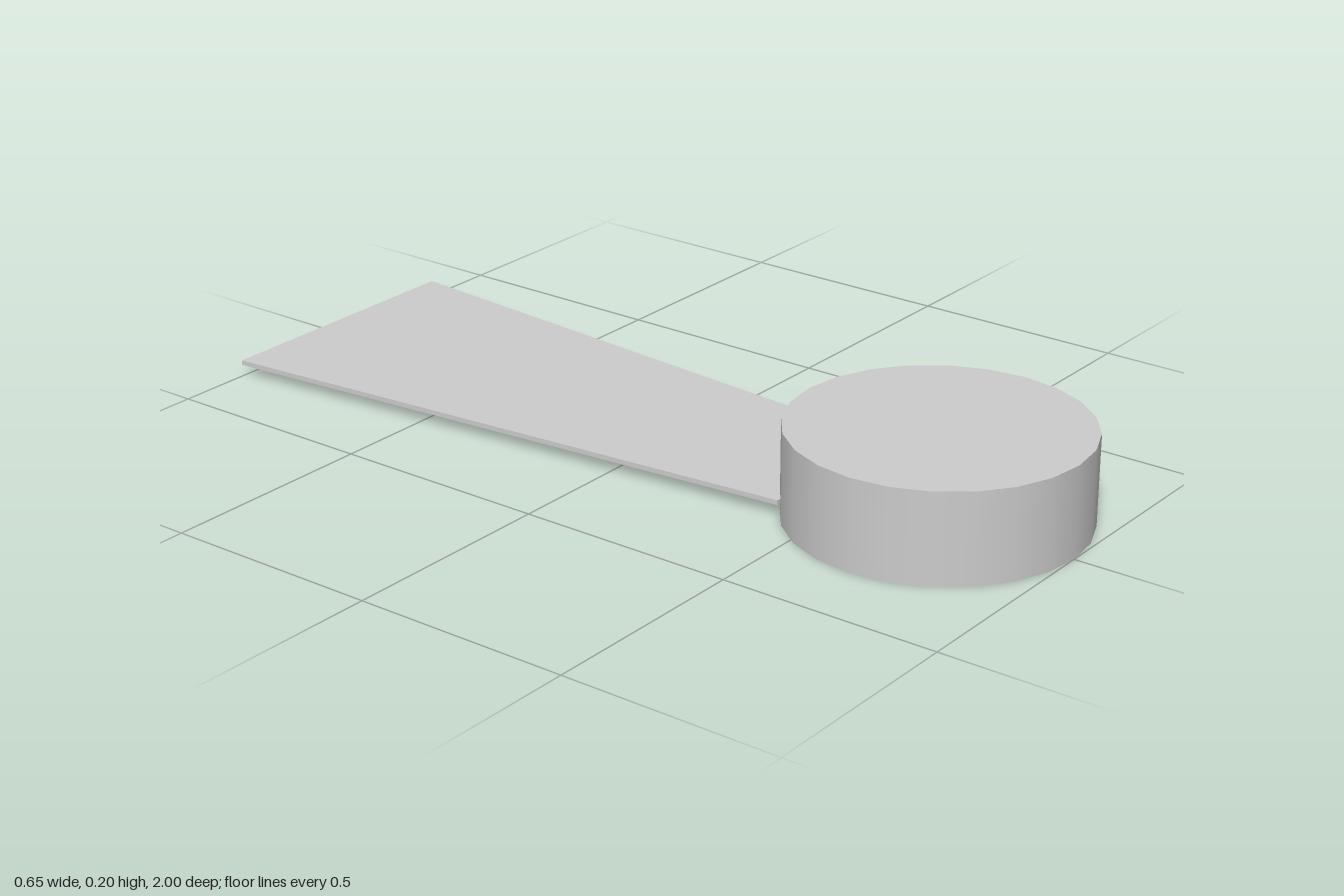
import * as THREE from 'three';

export function createModel() {
  const model = new THREE.Group();
  const material = new THREE.MeshStandardMaterial({ color: 0xcccccc });

  // Round hub: a short solid drum
  const hub = new THREE.Mesh(new THREE.CylinderGeometry(0.325, 0.325, 0.205, 24), material);
  hub.name = 'hub';
  hub.position.set(0.001, 0.1025, 0.675);
  model.add(hub);

  // Thin tapered blade, widening away from the hub (shape y becomes -z)
  const outline = new THREE.Shape([
    new THREE.Vector2(-0.2, -0.415),
    new THREE.Vector2(0.193, -0.415),
    new THREE.Vector2(0.321, 1),
    new THREE.Vector2(-0.328, 1),
  ]);
  const bladeGeometry = new THREE.ExtrudeGeometry(outline, { depth: 0.011, bevelEnabled: false });
  bladeGeometry.rotateX(-Math.PI / 2);
  const blade = new THREE.Mesh(bladeGeometry, material);
  blade.name = 'blade';
  blade.position.y = 0.027;
  model.add(blade);

  return model;
}
